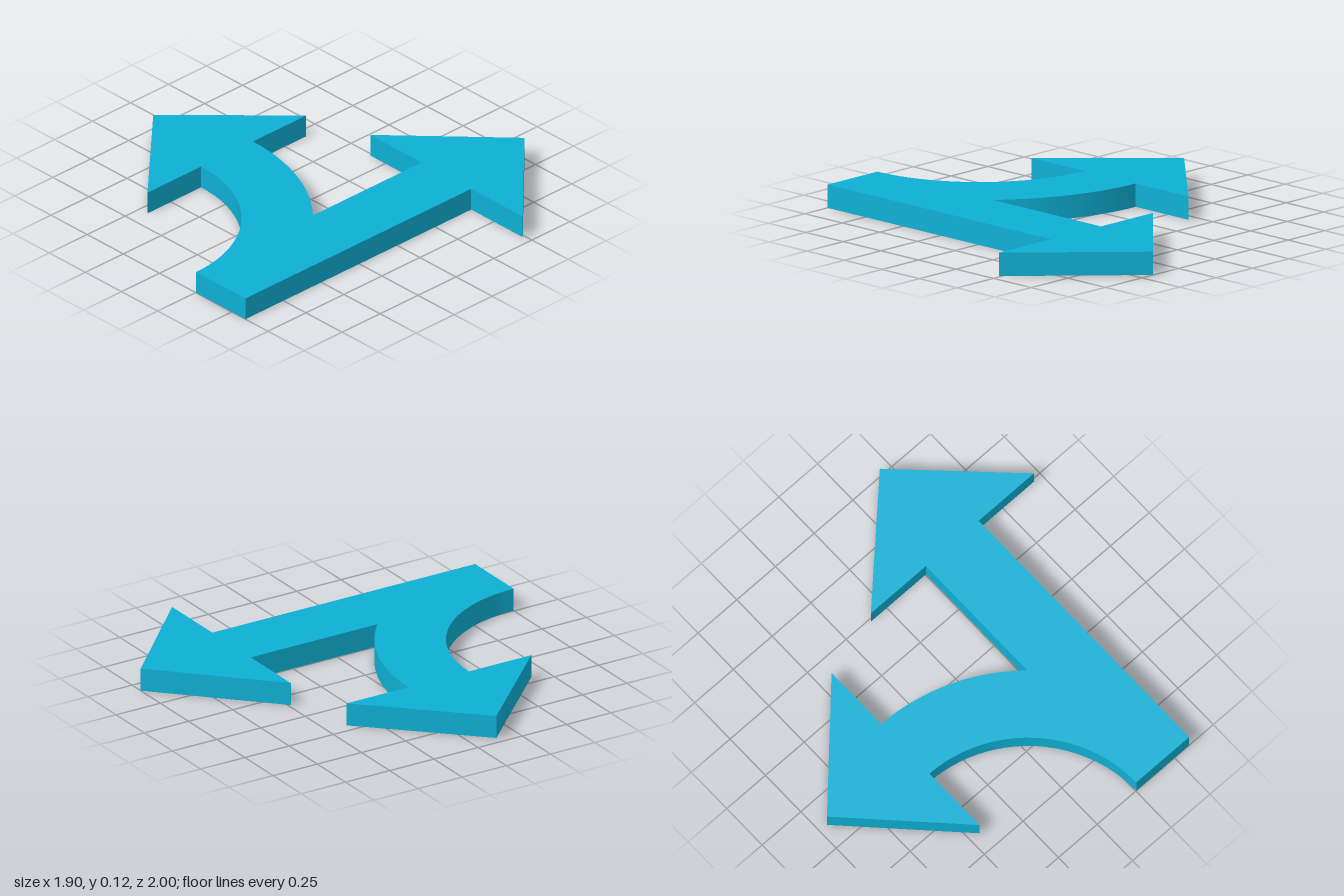
import * as THREE from 'three';
import { toCreasedNormals } from 'three/addons/utils/BufferGeometryUtils.js';

export function createModel() {
  const group = new THREE.Group();
  group.name = 'forkedArrow';
  const cyan = new THREE.MeshStandardMaterial({ color: 0x0eb0d4 });
  cyan.name = 'cyan';

  // Plan outline, drawn with forward (-z) as up
  const left = 0.253, right = 0.594, headX = -0.445, headY = 0.487;
  const inner = left - headX, outer = inner + (right - left);
  const s = new THREE.Shape();
  // straight shaft and its head
  s.moveTo(left, -1);
  s.lineTo(right, -1);
  s.lineTo(right, headY);
  s.lineTo(0.95, headY);
  s.lineTo(0.424, 1);
  s.lineTo(-0.103, headY);
  s.lineTo(left, headY);
  // curved branch and its head
  s.absarc(headX, -1, outer, Math.acos(inner / outer), Math.PI / 2, false);
  s.lineTo(headX, 0.39);
  s.lineTo(-0.953, -0.133);
  s.lineTo(headX, -0.655);
  s.absarc(headX, -1, inner, Math.PI / 2, 0, true);

  const slab = new THREE.ExtrudeGeometry(s, { depth: 0.115, bevelEnabled: false, curveSegments: 12 });
  slab.rotateX(-Math.PI / 2);
  const mesh = new THREE.Mesh(toCreasedNormals(slab, 0.35), cyan);
  mesh.name = 'arrowSlab';
  group.add(mesh);
  return group;
}
